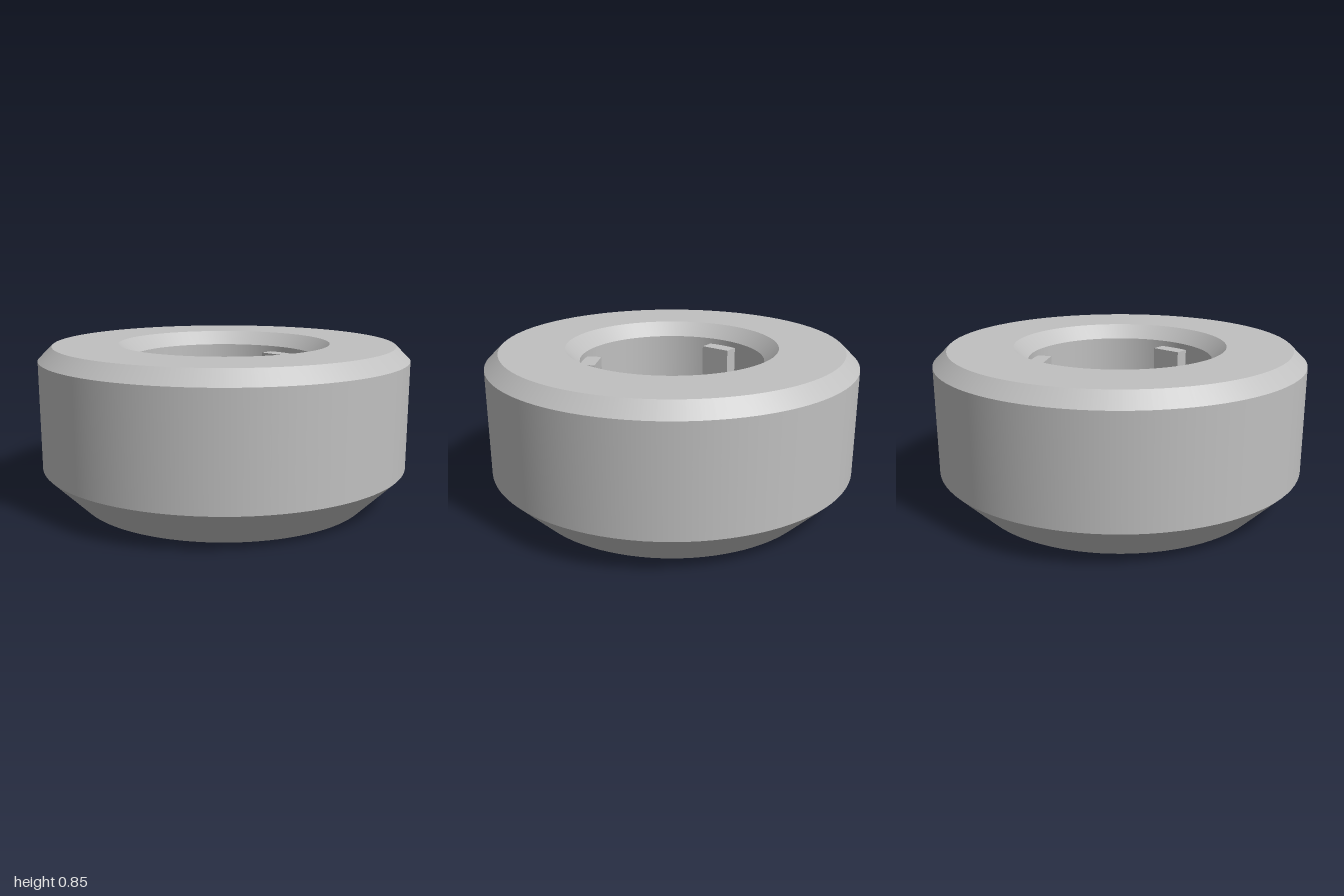
import * as THREE from 'three';
import { mergeGeometries } from 'three/addons/utils/BufferGeometryUtils.js';

const FLOOR = 0.2;
const KEY_TOP = 0.745;

// Revolve each profile segment separately so chamfer edges stay sharp
function creasedLathe(profile, segments) {
  const bands = [];
  for (let i = 0; i < profile.length - 1; i++) {
    const pair = [profile[i], profile[i + 1]].map(([r, y]) => new THREE.Vector2(r, y));
    bands.push(new THREE.LatheGeometry(pair, segments));
  }
  return mergeGeometries(bands);
}

export function createModel() {
  const model = new THREE.Group();
  model.name = 'keyedSocket';

  const grey = new THREE.MeshStandardMaterial({ color: 0xc0c0c0 });
  grey.name = 'plain grey';

  // Round body: solid base, chamfered rim and blind bore
  const body = new THREE.Mesh(creasedLathe([
    [0, 0], [0.8, 0], [1, 0.2], [1, 0.777], [0.925, 0.85],
    [0.575, 0.85], [0.5, 0.777], [0.5, FLOOR], [0, FLOOR],
  ], 96), grey);
  body.name = 'body';
  model.add(body);

  // Three upright keys spaced evenly around the bore wall
  const keyGeometry = new THREE.BoxGeometry(0.1, KEY_TOP - FLOOR, 0.175);
  keyGeometry.translate(0.463, (KEY_TOP + FLOOR) / 2, 0);
  for (let i = 0; i < 3; i++) {
    const key = new THREE.Mesh(keyGeometry, grey);
    key.name = `boreKey${i + 1}`;
    key.rotation.y = (i * Math.PI * 2) / 3;
    model.add(key);
  }
  return model;
}
